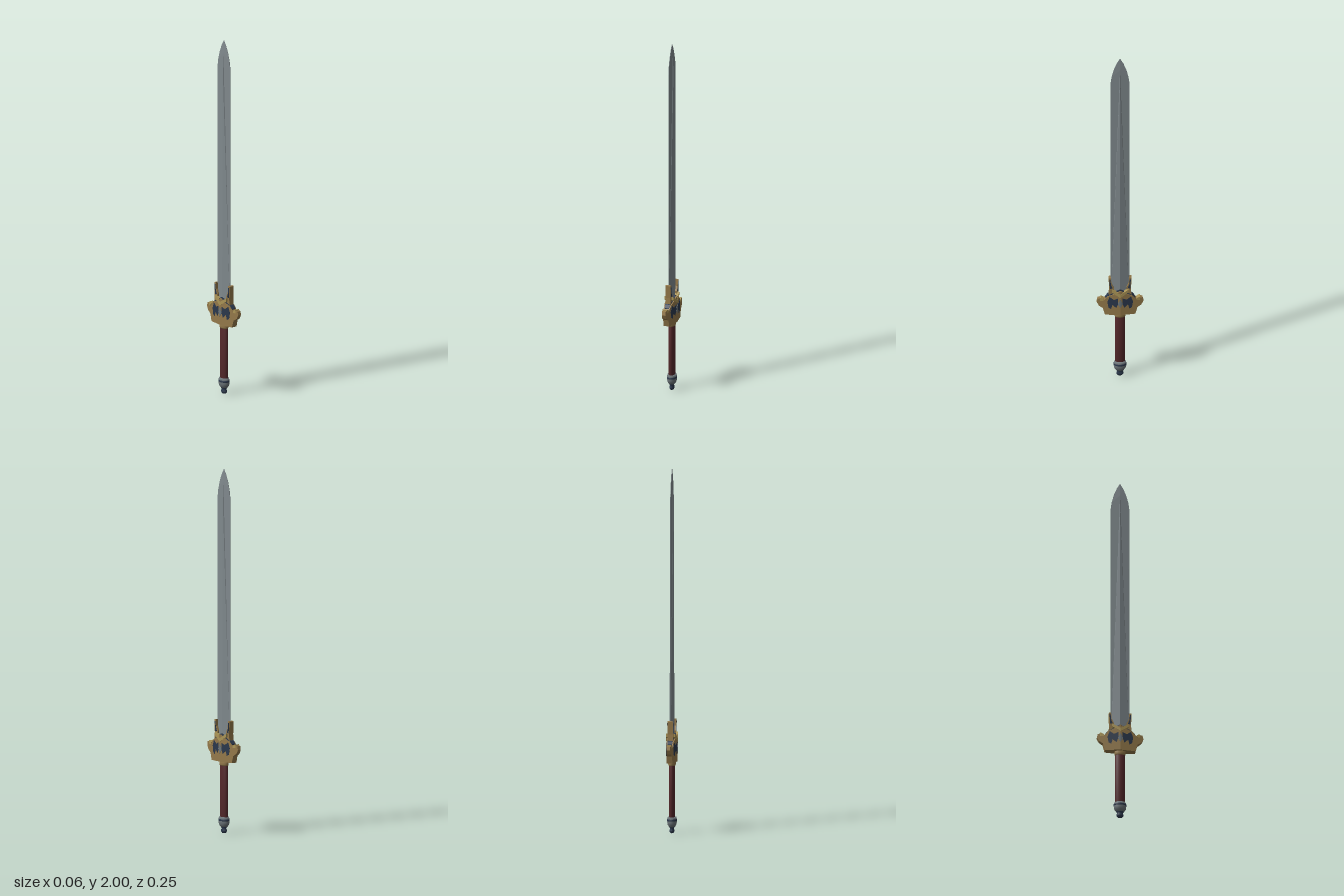
import * as THREE from 'three';

const mat = (name, color, flatShading = false) => {
  const m = new THREE.MeshStandardMaterial({ color, flatShading });
  m.name = name;
  return m;
};

// Plate lying in the z-y plane from a (z, y) outline; half(z, y) gives its half thickness in x.
function plate(points, half) {
  const shape = new THREE.Shape(points.map(([z, y]) => new THREE.Vector2(z, y)));
  const geo = new THREE.ExtrudeGeometry(shape, { depth: 1, bevelEnabled: false });
  const p = geo.attributes.position;
  for (let i = 0; i < p.count; i++) {
    const z = p.getX(i), y = p.getY(i), side = p.getZ(i) > 0.5 ? -1 : 1;
    p.setXYZ(i, side * half(z, y), y, z);
  }
  geo.computeVertexNormals();
  return geo;
}

export function createModel() {
  const root = new THREE.Group();
  const steel = mat('blade steel', 0x80898d);
  const gold = mat('antique gold', 0x94794a);
  const paleGold = mat('pale gold', 0xab9556);
  const navy = mat('navy enamel', 0x2b384c);
  const leather = mat('red leather', 0x54282a);
  const pewter = mat('pewter', 0x6c7579);

  // A half part and its copy turned half way round the vertical axis
  const addPair = (name, geo, material) => {
    const pair = new THREE.Group();
    pair.name = name;
    for (const turn of [0, Math.PI]) {
      const mesh = new THREE.Mesh(geo, material);
      mesh.name = name + 'Half';
      mesh.rotation.y = turn;
      pair.add(mesh);
    }
    root.add(pair);
  };

  // Turned part flattened in x
  const addLathe = (name, profile, material, flatten) => {
    const pts = profile.map(([r, y]) => new THREE.Vector2(r, y));
    const mesh = new THREE.Mesh(new THREE.LatheGeometry(pts, 20), material);
    mesh.name = name;
    mesh.scale.x = flatten;
    root.add(mesh);
  };

  // Blade: diamond section with a central ridge and a curved point
  addPair('blade', plate([
    [0, 0.42], [0.052, 0.42], [0.052, 1.0], [0.052, 1.84], [0.046, 1.885], [0.034, 1.93],
    [0.018, 1.97], [0, 2], [0, 1.93], [0, 1.84], [0, 1.0],
  ], (z, y) => z > 0.001 || y > 1.99 ? 0.0012
    : y > 1.84 ? 0.008 * (2 - y) / 0.16 + 0.001 : 0.014 - 0.005 * (y - 0.42) / 1.42), steel);

  // Guard: thick in the middle, thin at the wing ends
  const guardHalf = (z) => 0.03 - 0.02 * Math.min(1, z / 0.127);
  addPair('guard', plate([
    [0, 0.395], [0.083, 0.395], [0.094, 0.435], [0.116, 0.45], [0.127, 0.472], [0.122, 0.492],
    [0.106, 0.495], [0.088, 0.485], [0.066, 0.51], [0.042, 0.52], [0, 0.545],
  ], guardHalf), gold);

  // Enamel core showing along the top of the guard
  addPair('guardCore', plate([
    [0, 0.45], [0.08, 0.45], [0.08, 0.498], [0.066, 0.514], [0.042, 0.526], [0, 0.55],
  ], (z) => guardHalf(z) * 0.72), navy);

  // Pale caps on the upper edges of the wings
  addPair('wingCap', plate([
    [0.09, 0.48], [0.109, 0.48], [0.109, 0.499], [0.104, 0.499], [0.09, 0.491],
  ], (z) => guardHalf(z) + 0.0005), paleGold);

  // Prongs clasping the blade edges
  addPair('prong', plate([
    [0.038, 0.48], [0.064, 0.48], [0.059, 0.55], [0.062, 0.62], [0.05, 0.622], [0.047, 0.585], [0.034, 0.56],
  ], () => 0.015), gold);
  addPair('prongInlay', plate([
    [0.041, 0.558], [0.056, 0.555], [0.058, 0.612], [0.053, 0.612], [0.05, 0.58],
  ], () => 0.0165), navy);

  // Enamel panels and chevron on the guard faces
  addPair('guardInlay', plate([
    [0.012, 0.5], [0.035, 0.49], [0.058, 0.507], [0.07, 0.475], [0.064, 0.44], [0.05, 0.432],
    [0.042, 0.46], [0.022, 0.44], [0.012, 0.465],
  ], (z) => guardHalf(z) + 0.0015), navy);
  addPair('guardChevron', plate([
    [0, 0.505], [0.045, 0.535], [0.045, 0.553], [0, 0.525],
  ], (z) => guardHalf(z) + 0.002), paleGold);
  addPair('guardGem', plate([
    [0, 0.44], [0.014, 0.466], [0, 0.495],
  ], (z) => guardHalf(z) + 0.002), pewter);

  // Grip with end rings
  addLathe('grip', [[0, 0.08], [0.027, 0.08], [0.028, 0.23], [0.027, 0.385], [0, 0.385]], leather, 0.6);
  addLathe('gripRing', [[0, 0.372], [0.027, 0.372], [0.031, 0.378], [0.031, 0.392], [0.028, 0.398], [0, 0.398]], gold, 0.65);

  // Pommel and end knob
  addLathe('pommel', [
    [0, 0.036], [0.022, 0.036], [0.031, 0.048], [0.034, 0.06], [0.034, 0.08], [0.031, 0.09], [0, 0.092],
  ], pewter, 0.76);
  addLathe('pommelBand', [[0.032, 0.068], [0.0355, 0.07], [0.0355, 0.078], [0.032, 0.08]], navy, 0.77);
  addLathe('pommelKnob', [
    [0, 0], [0.012, 0.002], [0.019, 0.01], [0.02, 0.018], [0.014, 0.027], [0.02, 0.033], [0.022, 0.04], [0, 0.042],
  ], navy, 0.68);

  return root;
}
